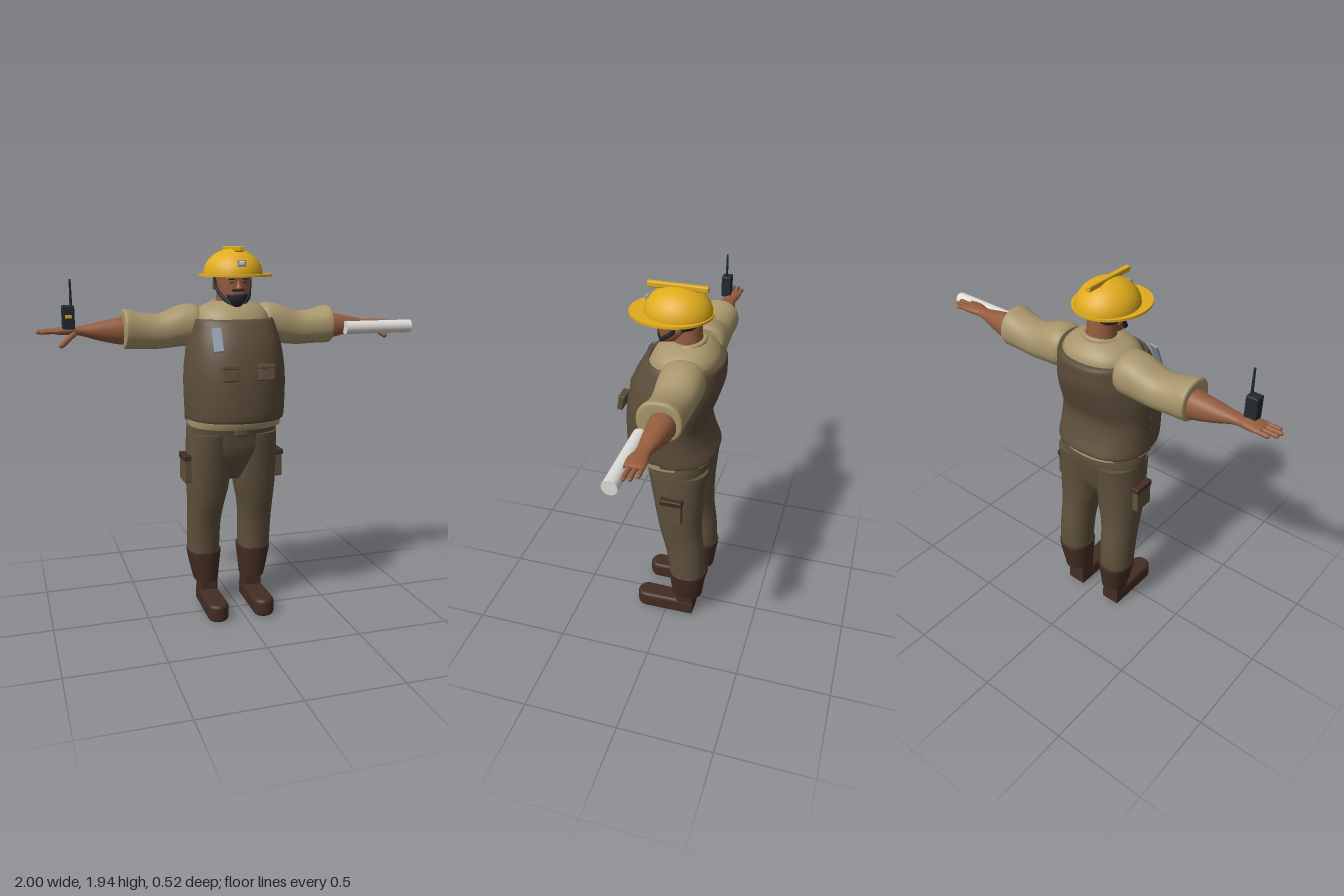
import * as THREE from 'three';
import { RoundedBoxGeometry } from 'three/addons/geometries/RoundedBoxGeometry.js';

const mat = (name, color) => {
  const m = new THREE.MeshStandardMaterial({ color, side: THREE.DoubleSide });
  m.name = name;
  return m;
};

// Smooth loft along y. Sections: [y, centreX, radiusX, zFront, zBack]; rings are superellipses about zMid.
function loft(keys, { n = 32, e = 2.2, a0 = 0, a1 = Math.PI * 2, zMid = null, sub = 4 } = {}) {
  const rows = [];
  for (let i = 0; i < keys.length - 1; i++) {
    const p = [keys[Math.max(i - 1, 0)], keys[i], keys[i + 1], keys[Math.min(i + 2, keys.length - 1)]];
    for (let k = 0; k < sub; k++) {
      const t = k / sub;
      rows.push(p[1].map((b, c) => {
        const a = p[0][c], d = p[2][c], f = p[3][c];
        return b + 0.5 * t * (d - a + t * (2 * a - 5 * b + 4 * d - f + t * (3 * (b - d) + f - a)));
      }));
    }
  }
  rows.push(keys[keys.length - 1]);
  const closed = a1 - a0 > 6.28, cols = closed ? n : n + 1;
  const pos = [], idx = [];
  const pw = (v) => Math.sign(v) * Math.abs(v) ** (2 / e);
  const ring = ([y, cx, rx, zf, zb]) => {
    const zm = zMid ?? (zf + zb) / 2;
    for (let j = 0; j < cols; j++) {
      const t = a0 + (a1 - a0) * j / n, s = pw(Math.sin(t));
      pos.push(cx + rx * pw(Math.cos(t)), y, zm + s * (s > 0 ? zf - zm : zm - zb));
    }
  };
  rows.forEach(ring);
  for (let i = 0; i < rows.length - 1; i++) {
    for (let j = 0; j < n; j++) {
      const k = (j + 1) % cols, a = i * cols + j, c = i * cols + k;
      idx.push(a, a + cols, c, a + cols, c + cols, c);
    }
  }
  if (closed) {
    [rows[0], rows[rows.length - 1]].forEach((r, top) => {
      const o = pos.length / 3;
      ring(r);
      pos.push(r[1], r[0], (r[3] + r[4]) / 2);
      for (let j = 0; j < n; j++) {
        const k = (j + 1) % n;
        idx.push(o + n, o + (top ? k : j), o + (top ? j : k));
      }
    });
  }
  const g = new THREE.BufferGeometry();
  g.setAttribute('position', new THREE.Float32BufferAttribute(pos, 3));
  g.setIndex(idx);
  g.computeVertexNormals();
  return g;
}

export function createModel() {
  const vestBrown = mat('vest brown', 0x5c4d3a), trouserBrown = mat('trouser brown', 0x5f513d);
  const tan = mat('shirt tan', 0xa8966c), skin = mat('skin', 0x955d3e), leather = mat('boot leather', 0x432d23);
  const yellow = mat('helmet yellow', 0xe0ab1c), dark = mat('dark hair and plastic', 0x232a32);
  const white = mat('paper white', 0xdedcd8), steel = mat('steel blue', 0x8d98a8);

  const model = new THREE.Group();
  const body = new THREE.Group();
  body.name = 'worker';
  body.position.x = -0.02;
  model.add(body);
  const add = (name, geo, m, x = 0, y = 0, z = 0) => {
    const mesh = new THREE.Mesh(geo, m);
    mesh.name = name;
    mesh.position.set(x, y, z);
    body.add(mesh);
    return mesh;
  };
  const box = (name, w, h, d, m, x, y, z, r = 0.006) =>
    add(name, new RoundedBoxGeometry(w, h, d, 2, r), m, x, y, z);
  // Capsule between two points
  const limb = (name, a, b, r, m) => {
    const A = new THREE.Vector3(...a), B = new THREE.Vector3(...b), d = B.clone().sub(A);
    const mesh = add(name, new THREE.CapsuleGeometry(r, d.length(), 4, 10), m);
    mesh.position.copy(A).add(B).multiplyScalar(0.5);
    mesh.quaternion.setFromUnitVectors(new THREE.Vector3(0, 1, 0), d.normalize());
    return mesh;
  };

  // Shirt and collar
  add('shirt', loft([
    [1.045, 0, 0.242, 0.195, -0.225], [1.1, 0, 0.242, 0.21, -0.21], [1.25, 0, 0.235, 0.205, -0.16],
    [1.4, 0, 0.225, 0.185, -0.2], [1.53, 0, 0.2, 0.13, -0.23], [1.6, 0, 0.195, 0.1, -0.23],
    [1.64, 0, 0.165, 0.07, -0.205], [1.665, 0, 0.115, 0.035, -0.175], [1.675, 0, 0.085, 0.01, -0.15],
  ]), tan);
  const collar = add('collar', new THREE.TorusGeometry(0.085, 0.014, 8, 28), tan, 0, 1.662, -0.066);
  collar.rotation.x = Math.PI / 2 + 0.15;

  // Vest, a front and a back panel that overlap at the sides
  add('vestFront', loft([
    [1.085, 0, 0.25, 0.215, 0], [1.1, 0, 0.26, 0.234, 0], [1.25, 0, 0.266, 0.236, 0], [1.36, 0, 0.262, 0.225, 0],
    [1.46, 0, 0.246, 0.2, 0], [1.53, 0, 0.226, 0.168, 0], [1.585, 0, 0.208, 0.132, 0], [1.59, 0, 0.195, 0.11, 0],
  ], { a1: Math.PI, zMid: -0.02 }), vestBrown);
  add('vestBack', loft([
    [1.065, 0, 0.25, 0, -0.225], [1.08, 0, 0.255, 0, -0.24], [1.15, 0, 0.252, 0, -0.21], [1.25, 0, 0.25, 0, -0.187],
    [1.36, 0, 0.252, 0, -0.222], [1.46, 0, 0.24, 0, -0.252], [1.53, 0, 0.226, 0, -0.258],
    [1.58, 0, 0.212, 0, -0.256], [1.59, 0, 0.195, 0, -0.228],
  ], { a0: Math.PI, a1: Math.PI * 2, zMid: 0, e: 2.5 }), vestBrown);
  for (const x of [-0.092, 0.095]) {
    box('chestPouch', 0.082, 0.08, 0.03, vestBrown, x, 1.34, 0.238).rotation.x = -0.2;
    box('chestPouchFlap', 0.086, 0.022, 0.034, vestBrown, x, 1.369, 0.233).rotation.x = -0.2;
  }
  box('chestPad', 0.05, 0.122, 0.012, steel, -0.138, 1.5, 0.186, 0.004).rotation.set(-0.42, -0.2, 0);

  // Trousers
  add('hips', loft([
    [0.74, 0, 0.07, 0, -0.12], [0.8, 0, 0.16, 0.04, -0.17], [0.9, 0, 0.235, 0.085, -0.2],
    [1.0, 0, 0.242, 0.105, -0.218], [1.06, 0, 0.236, 0.12, -0.215],
  ]), trouserBrown);
  box('beltPouch', 0.065, 0.05, 0.05, trouserBrown, 0, 1.025, 0.125, 0.012);

  for (const s of [1, -1]) {
    const side = s > 0 ? 'left' : 'right';
    // Legs with thigh pockets
    add(side + 'Leg', loft([
      [0.3, 0.145, 0.086, -0.025, -0.215], [0.4, 0.145, 0.088, -0.015, -0.214], [0.5, 0.144, 0.09, 0.003, -0.205],
      [0.6, 0.138, 0.098, 0.03, -0.193], [0.7, 0.13, 0.112, 0.05, -0.192], [0.85, 0.124, 0.12, 0.075, -0.2],
      [1.0, 0.12, 0.12, 0.1, -0.215],
    ].map(([y, x, ...r]) => [y, s * x, ...r])), trouserBrown);
    box(side + 'ThighPocket', 0.05, 0.14, 0.112, trouserBrown, s * 0.245, 0.805, -0.058);
    box(side + 'PocketFlap', 0.056, 0.03, 0.12, leather, s * 0.247, 0.868, -0.058);

    // Boots
    add(side + 'BootShaft', loft([
      [0.15, 0.133, 0.066, -0.032, -0.203], [0.22, 0.138, 0.078, -0.027, -0.212],
      [0.31, 0.142, 0.092, -0.02, -0.224], [0.325, 0.142, 0.09, -0.022, -0.222],
    ].map(([y, x, ...r]) => [y, s * x, ...r])), leather);
    box(side + 'Ankle', 0.1, 0.15, 0.1, leather, s * 0.127, 0.125, -0.11, 0.012);
    const sole = new THREE.Shape();
    sole.moveTo(-0.034, 0.145);
    sole.lineTo(0.034, 0.145);
    sole.lineTo(0.038, -0.115);
    sole.absarc(0, -0.115, 0.038, 0, -Math.PI, true);
    const foot = new THREE.ExtrudeGeometry(sole, {
      depth: 0.054, bevelThickness: 0.02, bevelSize: 0.018, bevelSegments: 4, curveSegments: 12,
    });
    foot.rotateX(-Math.PI / 2);
    foot.rotateY(Math.PI);
    foot.scale(1, 1, -1).rotateZ(Math.PI);
    foot.rotateY(Math.PI);
    foot.computeBoundingBox();
    foot.translate(0, -foot.boundingBox.min.y, 0);
    // Point the round toe forwards
    const toeForward = foot.rotateY(toeAngle(foot));
    toeForward.computeBoundingBox();
    const fb = toeForward.boundingBox;
    add(side + 'Foot', toeForward, leather, s * 0.127, 0.003, 0.175 - fb.max.z);

    // Sleeves and forearms: lofted upright, then laid along x
    const across = (keys, opt) =>
      loft(keys.map(([x, y, ry, z, rz]) => [x, -s * y, ry, z + rz, z - rz]), opt).rotateZ(-s * Math.PI / 2);
    add(side + 'Sleeve', across([
      [0.17, 1.555, 0.095, -0.1, 0.1], [0.2, 1.555, 0.106, -0.1, 0.11], [0.27, 1.548, 0.104, -0.1, 0.108],
      [0.37, 1.525, 0.089, -0.097, 0.1], [0.46, 1.53, 0.091, -0.094, 0.1], [0.53, 1.54, 0.1, -0.092, 0.106],
      [0.552, 1.54, 0.097, -0.092, 0.103], [0.556, 1.538, 0.08, -0.095, 0.08],
    ]), tan);
    add(side + 'Forearm', across([
      [0.5, 1.53, 0.07, -0.11, 0.065], [0.57, 1.53, 0.068, -0.109, 0.062], [0.67, 1.532, 0.048, -0.103, 0.05],
      [0.77, 1.537, 0.023, -0.096, 0.034], [0.83, 1.54, 0.021, -0.092, 0.045], [0.88, 1.54, 0.017, -0.09, 0.05],
      [0.9, 1.54, 0.01, -0.09, 0.046],
    ], { n: 24 }), skin);
    [[-0.13, 0.935], [-0.103, 0.965], [-0.076, 0.97], [-0.05, 0.95]].forEach(([z, tip], i) =>
      limb(side + 'Finger' + (i + 1), [s * 0.87, 1.541, -0.09 + (z + 0.09) * 0.9], [s * tip, 1.538, z], 0.0105, skin));
    limb(side + 'Thumb', [s * 0.8, 1.525, -0.065], [s * 0.865, 1.475, -0.025], 0.014, skin);
  }

  // Neck and head
  add('neck', new THREE.CylinderGeometry(0.066, 0.078, 0.18, 24), skin, 0, 1.7, -0.068);
  const face = [
    [1.655, 0, 0.03, 0.06, 0.0], [1.675, 0, 0.055, 0.072, -0.04], [1.71, 0, 0.073, 0.075, -0.085],
    [1.75, 0, 0.084, 0.076, -0.115], [1.8, 0, 0.09, 0.078, -0.125], [1.84, 0, 0.088, 0.07, -0.12],
  ];
  add('head', loft(face), skin);
  const nose = add('nose', new THREE.ConeGeometry(0.017, 0.05, 10), skin, 0, 1.763, 0.081);
  nose.rotation.x = -0.25;
  // Beard, moustache, brows and hair
  add('beard', loft([
    [1.65, 0, 0.03, 0.064, -0.01], [1.675, 0, 0.058, 0.078, -0.01], [1.7, 0, 0.072, 0.081, -0.01],
    [1.712, 0, 0.075, 0.079, -0.01],
  ], { a0: 0.75, a1: Math.PI - 0.75, zMid: -0.01 }), dark);
  box('moustache', 0.066, 0.012, 0.014, dark, 0, 1.733, 0.073, 0.005);
  for (const s of [1, -1]) {
    add('jawBeard', new THREE.TubeGeometry(new THREE.CatmullRomCurve3([
      [0.09, 1.79, -0.03], [0.086, 1.745, -0.02], [0.068, 1.7, 0.025], [0.04, 1.672, 0.055],
    ].map(([x, y, z]) => new THREE.Vector3(s * x, y, z))), 16, 0.012, 8), dark);
    const ear = add('ear', new THREE.SphereGeometry(0.02, 12, 10), skin, s * 0.092, 1.755, -0.045);
    ear.scale.set(0.5, 1.2, 0.8);
    box('eyebrow', 0.034, 0.007, 0.008, dark, s * 0.034, 1.787, 0.075, 0.003);
    box('eye', 0.02, 0.007, 0.006, dark, s * 0.034, 1.77, 0.072, 0.003);
  }
  add('hair', loft([
    [1.748, 0, 0.086, 0, -0.122], [1.765, 0, 0.094, 0, -0.13], [1.82, 0, 0.096, 0, -0.132],
  ], { a0: Math.PI, a1: Math.PI * 2, zMid: -0.04 }), dark);

  // Hard hat
  const dome = new THREE.SphereGeometry(1, 40, 16, 0, Math.PI * 2, 0, Math.PI / 2);
  add('helmetDome', dome, yellow, 0, 1.805, -0.02).scale.set(0.15, 0.13, 0.166);
  add('helmetBrim', new THREE.CylinderGeometry(1, 1, 1, 48), yellow, 0, 1.805, 0.013).scale.set(0.184, 0.011, 0.205);
  box('helmetCrest', 0.027, 0.028, 0.295, yellow, 0, 1.932, -0.017);
  box('helmetLampMount', 0.042, 0.032, 0.02, steel, 0, 1.864, 0.128, 0.005);
  box('helmetLamp', 0.028, 0.02, 0.01, white, 0, 1.864, 0.136, 0.004);

  // Paper roll in the left hand
  add('paperRoll', new THREE.CylinderGeometry(0.035, 0.035, 0.385, 28), white, 0.8275, 1.52, -0.036)
    .rotation.z = Math.PI / 2;

  // Radio in the right hand
  box('radio', 0.06, 0.115, 0.052, dark, -0.825, 1.607, -0.067);
  box('radioScreen', 0.034, 0.018, 0.006, yellow, -0.825, 1.612, -0.04, 0.002);
  add('radioAntenna', new THREE.CylinderGeometry(0.005, 0.007, 0.13, 10), dark, -0.809, 1.725, -0.067);
  return model;
}

// Turn needed so that the narrow, rounded end of the foot faces +z
function toeAngle(geo) {
  geo.computeBoundingBox();
  const p = geo.attributes.position, { min, max } = geo.boundingBox;
  let front = 0, back = 0;
  for (let i = 0; i < p.count; i++) {
    if (p.getZ(i) > max.z - 0.004) front = Math.max(front, Math.abs(p.getX(i)));
    if (p.getZ(i) < min.z + 0.004) back = Math.max(back, Math.abs(p.getX(i)));
  }
  return front > back ? Math.PI : 0;
}
